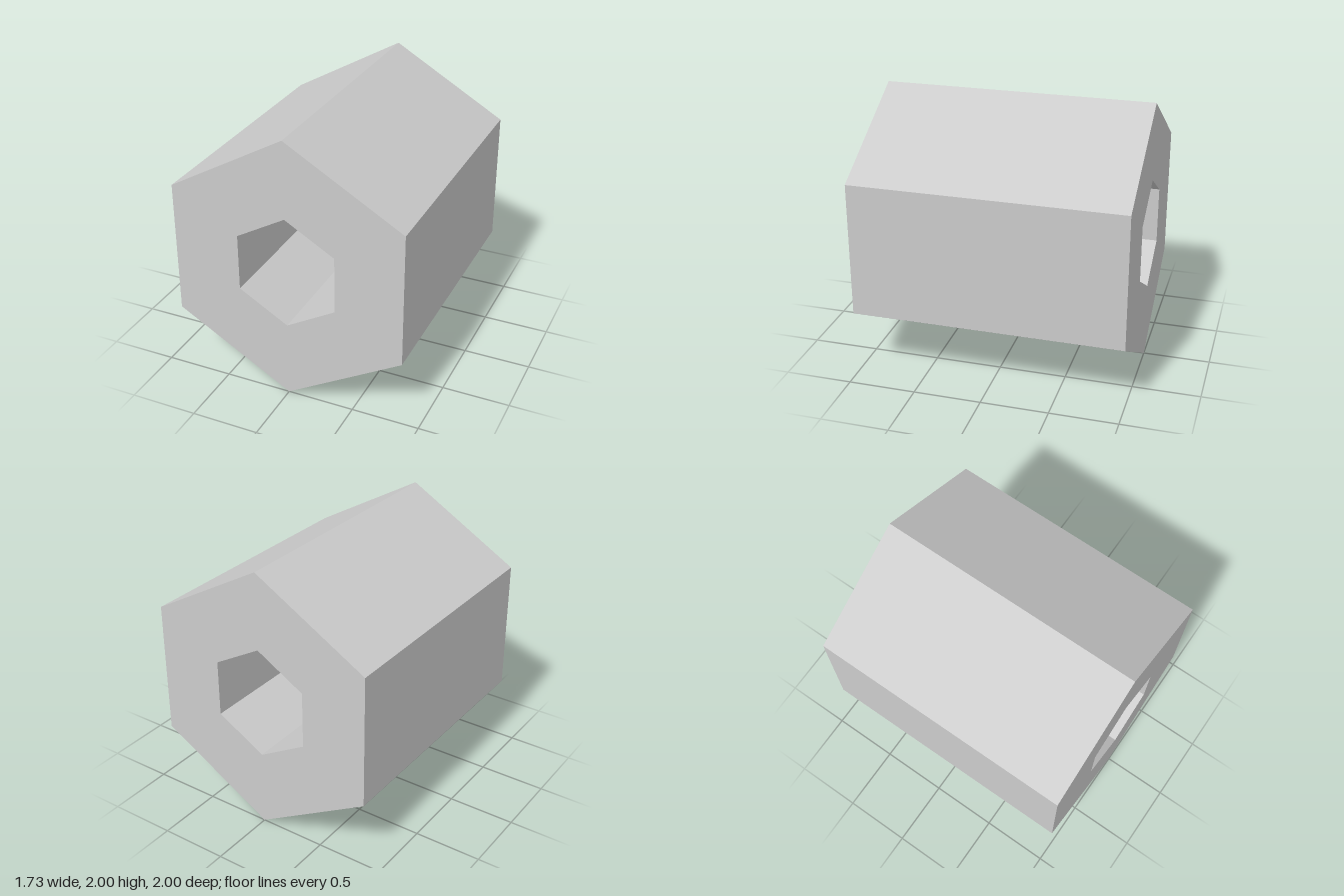
import * as THREE from 'three';

// Regular hexagon with a corner pointing straight up
function hexagon(radius) {
  const points = [];
  for (let i = 0; i < 6; i++) {
    const a = Math.PI / 2 + (i * Math.PI) / 3;
    points.push(new THREE.Vector2(radius * Math.cos(a), radius * Math.sin(a)));
  }
  return points;
}

export function createModel() {
  const outerRadius = 1, boreRadius = 0.423, length = 2;

  // Hexagonal bar with a hexagonal bore running from front to back
  const profile = new THREE.Shape(hexagon(outerRadius));
  profile.holes.push(new THREE.Path(hexagon(boreRadius).reverse()));
  const geometry = new THREE.ExtrudeGeometry(profile, { depth: length, bevelEnabled: false });
  geometry.translate(0, outerRadius, -length / 2);

  const sleeve = new THREE.Mesh(
    geometry,
    new THREE.MeshStandardMaterial({ color: 0xcccccc, flatShading: true })
  );
  sleeve.name = 'hexagonalSleeve';

  const group = new THREE.Group();
  group.name = 'hexagonalTube';
  group.add(sleeve);
  return group;
}
